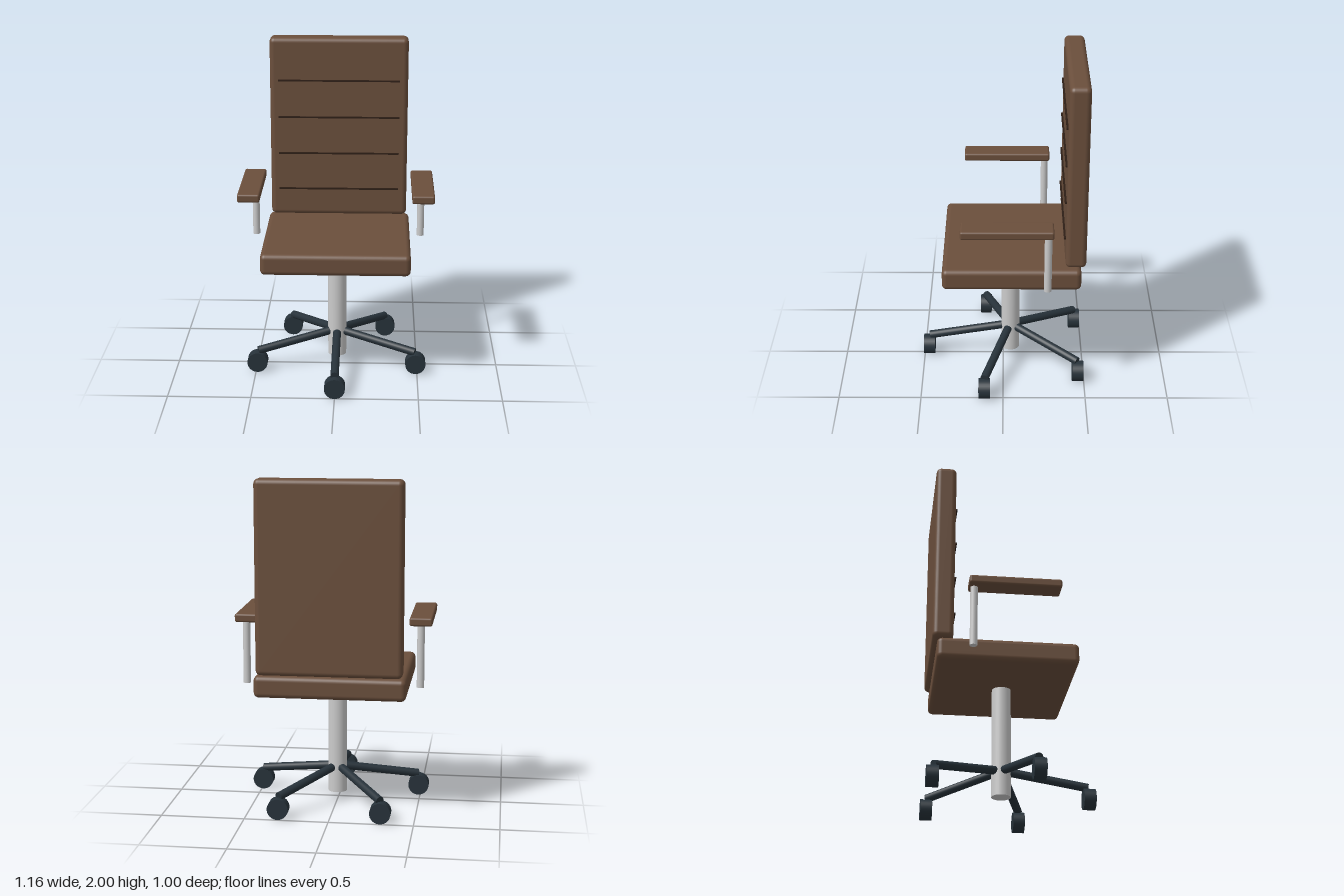
import * as THREE from 'three';
import { RoundedBoxGeometry } from 'three/addons/geometries/RoundedBoxGeometry.js';

const leather = new THREE.MeshStandardMaterial({ color: 0x6b4f3c });
const seamDark = new THREE.MeshStandardMaterial({ color: 0x2e1f16 });
const plastic = new THREE.MeshStandardMaterial({ color: 0x27323a });
const metal = new THREE.MeshStandardMaterial({ color: 0xcccccc });

const BASE_Z = -0.045; // centre line of column and base

export function createModel() {
  const chair = new THREE.Group();
  chair.name = 'officeChair';

  const add = (name, geometry, material, x, y, z) => {
    const mesh = new THREE.Mesh(geometry, material);
    mesh.name = name;
    mesh.position.set(x, y, z);
    chair.add(mesh);
    return mesh;
  };
  const cushion = (w, h, d, r) => new RoundedBoxGeometry(w, h, d, 4, r);

  // Seat and backrest
  add('seat', cushion(0.89, 0.13, 0.82, 0.03), leather, 0, 0.79, -0.05);
  add('backrest', cushion(0.854, 1.135, 0.122, 0.03), leather, 0, 1.4325, -0.426);

  // Stitched seams across the front of the backrest
  for (let i = 0; i < 4; i++) {
    add('backrestSeam', new THREE.BoxGeometry(0.75, 0.009, 0.016), seamDark, 0, 1.04 + i * 0.232, -0.362);
  }

  // Armrests on posts
  for (const side of [1, -1]) {
    const label = side > 0 ? 'left' : 'right';
    add(label + 'Armrest', cushion(0.133, 0.05, 0.535, 0.012), leather, side * 0.516, 1.165, -0.023);
    add(label + 'ArmPost', new THREE.CylinderGeometry(0.022, 0.022, 0.37, 24), metal, side * 0.516, 0.957, -0.26);
  }

  // Central column
  add('column', new THREE.CylinderGeometry(0.057, 0.057, 0.68, 32), metal, 0, 0.395, BASE_Z);

  // Five sloping legs, each ending in a caster
  const up = new THREE.Vector3(0, 1, 0);
  for (let i = 0; i < 5; i++) {
    const a = (i * 2 * Math.PI) / 5;
    const at = (r, y) => new THREE.Vector3(Math.sin(a) * r, y, BASE_Z + Math.cos(a) * r);
    const inner = at(0.05, 0.209);
    const outer = at(0.51, 0.132);
    const along = outer.clone().sub(inner);
    const mid = inner.clone().add(outer).multiplyScalar(0.5);
    const leg = add('baseLeg', new THREE.CylinderGeometry(0.025, 0.025, along.length(), 20), plastic, mid.x, mid.y, mid.z);
    leg.quaternion.setFromUnitVectors(up, along.normalize());

    const hub = at(0.515, 0.0625);
    const caster = add('caster', new THREE.CylinderGeometry(0.0625, 0.0625, 0.07, 32), plastic, hub.x, hub.y, hub.z);
    caster.rotation.x = Math.PI / 2;
  }

  return chair;
}
